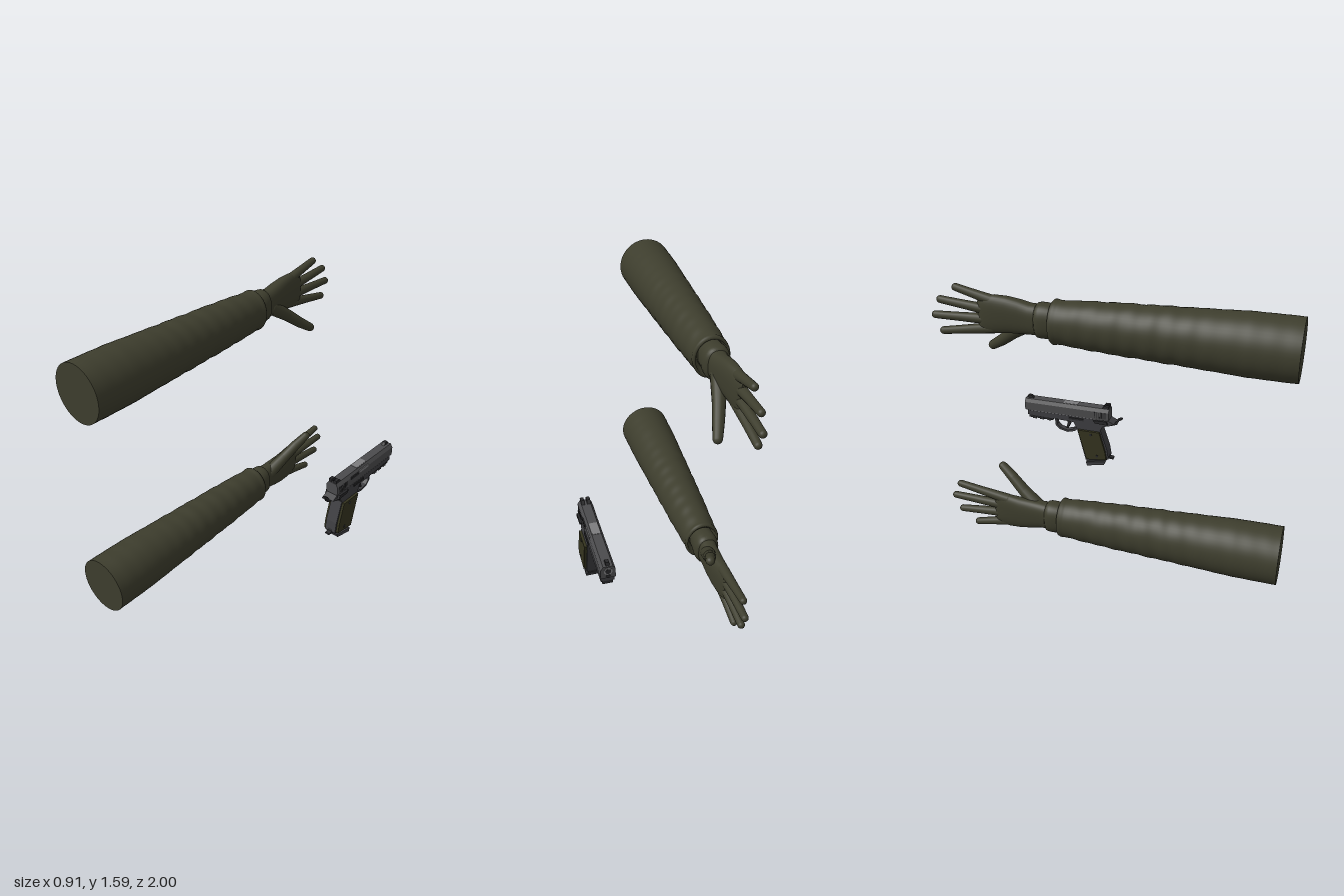
import * as THREE from 'three';

const mat = (name, color) => Object.assign(new THREE.MeshStandardMaterial({ color }), { name });

// Loft closed rings (listed toward -z, counter-clockwise seen from +z), with flat caps
function loft(rings) {
  const n = rings[0].length, pos = [], idx = [];
  rings.forEach(r => r.forEach(p => pos.push(...p)));
  for (let i = 0; i < rings.length - 1; i++) for (let j = 0; j < n; j++) {
    const a = i * n + j, b = i * n + (j + 1) % n;
    idx.push(a, a + n, b, b, a + n, b + n);
  }
  [rings[0], rings[rings.length - 1]].forEach((r, end) => {
    const base = pos.length / 3, c = [0, 0, 0];
    r.forEach(p => { pos.push(...p); p.forEach((v, k) => { c[k] += v / n; }); });
    pos.push(...c);
    for (let j = 0; j < n; j++) {
      const k = base + (j + 1) % n;
      idx.push(base + n, end ? k : base + j, end ? base + j : k);
    }
  });
  const g = new THREE.BufferGeometry();
  g.setAttribute('position', new THREE.Float32BufferAttribute(pos, 3));
  g.setIndex(idx);
  g.computeVertexNormals();
  return g;
}

// Rounded ring; power below 1 makes it boxier
function ring(cx, cy, z, rx, ry, power = 1, n = 40, swell = () => 1) {
  return Array.from({ length: n }, (_, j) => {
    const t = j / n * Math.PI * 2, c = Math.cos(t), s = Math.sin(t), k = swell(t);
    return [cx + rx * k * Math.sign(c) * Math.abs(c) ** power, cy + ry * k * Math.sign(s) * Math.abs(s) ** power, z];
  });
}

// Tapered rounded limb between two centres
function limb(a, b, ra, rb) {
  const A = new THREE.Vector3(...a), B = new THREE.Vector3(...b), d = B.clone().sub(A), len = d.length(), pts = [];
  for (let i = 0; i <= 6; i++) {
    const t = i / 6 * Math.PI / 2;
    pts.push(new THREE.Vector2(ra * Math.sin(t), -ra * Math.cos(t)));
  }
  for (let i = 0; i <= 6; i++) {
    const t = i / 6 * Math.PI / 2;
    pts.push(new THREE.Vector2(rb * Math.cos(t), len + rb * Math.sin(t)));
  }
  const g = new THREE.LatheGeometry(pts, 16);
  g.applyQuaternion(new THREE.Quaternion().setFromUnitVectors(new THREE.Vector3(0, 1, 0), d.normalize()));
  return g.translate(...a);
}

// Mirror a geometry across y = 0.8 and keep its faces outward
function mirrorY(g) {
  const m = g.clone().scale(1, -1, 1).translate(0, 1.6, 0), ix = m.index.array;
  for (let i = 0; i < ix.length; i += 3) [ix[i + 1], ix[i + 2]] = [ix[i + 2], ix[i + 1]];
  return m;
}

function armParts() {
  const parts = [], X = -0.29, Y = 0.173;
  const lerp = THREE.MathUtils.lerp, smooth = THREE.MathUtils.smoothstep;

  // Sleeve: tapered, with folds growing toward the cuff, and a hollow end
  const keys = [[1, 0.162, 0.166], [0.75, 0.156, 0.167], [0.5, 0.144, 0.155], [0, 0.12, 0.135], [-0.3, 0.1, 0.117]];
  const rings = [];
  for (let i = 0; i <= 110; i++) {
    const z = lerp(1, -0.285, i / 110);
    let k = 0;
    while (k < 3 && z < keys[k + 1][0]) k++;
    const u = (keys[k][0] - z) / (keys[k][0] - keys[k + 1][0]);
    const amp = 0.004 + 0.014 * (1 - smooth(z, 0.3, 0.65));
    const folds = t => 1 + amp * (Math.sin(z * 62 + 1.6 * Math.sin(t + 1)) + 0.7 * Math.sin(z * 31 + 2 * Math.cos(2 * t))) * 0.6
      + 0.03 * smooth(-z, 0.262, 0.272);
    rings.push(ring(X, Y, z, lerp(keys[k][1], keys[k + 1][1], u), lerp(keys[k][2], keys[k + 1][2], u), 1, 48, folds));
  }
  [[-0.293, 0.1, 0.115], [-0.293, 0.09, 0.105], [-0.26, 0.085, 0.1], [-0.25, 0.07, 0.085]]
    .forEach(([z, a, b]) => rings.push(ring(X, Y, z, a, b, 1, 48)));
  parts.push(['sleeve', loft(rings)]);

  // Glove cuff and palm
  parts.push(['gloveCuff', loft([
    [-0.24, 0.066, 0.086], [-0.3, 0.07, 0.093], [-0.325, 0.074, 0.097], [-0.355, 0.074, 0.097], [-0.375, 0.069, 0.094], [-0.385, 0.055, 0.08],
  ].map(([z, a, b]) => ring(X - 0.003, 0.17, z, a, b, 0.85)))]);
  // Palm rows: z, centre x, centre y, half width, half height
  parts.push(['palm', loft([
    [-0.36, -0.292, 0.17, 0.058, 0.084], [-0.42, -0.292, 0.17, 0.053, 0.086], [-0.48, -0.293, 0.164, 0.051, 0.095],
    [-0.55, -0.295, 0.16, 0.048, 0.102], [-0.62, -0.298, 0.163, 0.042, 0.108], [-0.67, -0.298, 0.168, 0.035, 0.105],
    [-0.7, -0.297, 0.17, 0.026, 0.095], [-0.715, -0.297, 0.17, 0.012, 0.08],
  ].map(([z, x, y, a, b]) => ring(x, y, z, a, b, 0.8)))]);

  // Four fingers: base y, base z, tip y, tip z
  [[0.095, -0.6, 0.036, -0.84], [0.145, -0.64, 0.115, -0.938], [0.196, -0.64, 0.207, -0.976], [0.243, -0.63, 0.296, -0.936]]
    .forEach(([y0, z0, y1, z1]) => {
      const my = (y0 + y1) / 2, mz = (z0 + z1) / 2;
      parts.push(['fingerBase', limb([-0.298, y0, z0], [-0.297, my, mz], 0.031, 0.025)]);
      parts.push(['fingerTip', limb([-0.297, my, mz], [-0.295, y1, z1], 0.025, 0.021)]);
    });

  // Thumb with its fleshy root
  parts.push(['thumbRoot', limb([-0.278, 0.2, -0.43], [-0.243, 0.282, -0.545], 0.045, 0.036)]);
  parts.push(['thumbMiddle', limb([-0.243, 0.282, -0.545], [-0.215, 0.347, -0.625], 0.036, 0.032)]);
  parts.push(['thumbTip', limb([-0.215, 0.347, -0.625], [-0.188, 0.398, -0.698], 0.032, 0.026)]);
  return parts;
}

export function createModel() {
  const model = new THREE.Group();
  const olive = mat('olive cloth', 0x3d3d2d), panelGreen = mat('grip olive', 0x35341f);
  const steel = mat('slide grey', 0x4b4b4d), dark = mat('frame grey', 0x3e3e41);
  const black = mat('dark fittings', 0x28282a), bright = mat('bright steel', 0x7c7c7e);
  const add = (parent, name, g, m) => {
    const mesh = new THREE.Mesh(g, m);
    mesh.name = name;
    parent.add(mesh);
  };

  // Two arms, one the upside-down mirror of the other
  const lower = new THREE.Group(), upper = new THREE.Group();
  lower.name = 'lowerArm';
  upper.name = 'upperArm';
  armParts().forEach(([name, g]) => {
    add(lower, name, g, olive);
    add(upper, name, mirrorY(g), olive);
  });

  // Pistol pointing toward -z; profiles use (u, y) with u = -z
  const pistol = new THREE.Group(), CX = 0.4;
  pistol.name = 'pistol';
  const plate = (name, pts, w, m, x = CX, hole) => {
    const s = new THREE.Shape(pts.map(p => new THREE.Vector2(...p)));
    if (hole) s.holes.push(new THREE.Path(hole.map(p => new THREE.Vector2(...p))));
    const g = new THREE.ExtrudeGeometry(s, { depth: w, bevelEnabled: false });
    add(pistol, name, g.translate(0, 0, -w / 2).rotateY(Math.PI / 2).translate(x, 0, 0), m);
  };
  const box = (name, u0, u1, y0, y1, w, m, x = CX) => plate(name, [[u0, y0], [u1, y0], [u1, y1], [u0, y1]], w, m, x);

  // Slide with chamfered top, riding on a narrow rail
  const section = new THREE.Shape([[-0.04, 0.491], [0.04, 0.491], [0.04, 0.545], [0.026, 0.567], [-0.026, 0.567], [-0.04, 0.545]]
    .map(p => new THREE.Vector2(...p)));
  add(pistol, 'slide', new THREE.ExtrudeGeometry(section, { depth: 0.573, bevelEnabled: false }).translate(CX, 0, -0.773), steel);
  box('slideRail', 0.21, 0.75, 0.484, 0.493, 0.072, bright);
  box('chamberTop', 0.415, 0.51, 0.56, 0.569, 0.044, bright);
  box('ejectionPort', 0.415, 0.51, 0.538, 0.556, 0.006, bright, CX + 0.039);
  box('extractor', 0.335, 0.41, 0.534, 0.55, 0.008, black, CX + 0.04);
  for (let i = 0; i < 6; i++) for (const s of [-1, 1])
    box('slideSerration', 0.22 + i * 0.014, 0.225 + i * 0.014, 0.5, 0.542, 0.004, black, CX + s * 0.04);

  // Sights
  plate('frontSight', [[0.72, 0.565], [0.765, 0.565], [0.758, 0.584], [0.735, 0.584]], 0.02, black);
  for (const s of [-1, 1]) plate('rearSight', [[0.203, 0.565], [0.25, 0.565], [0.232, 0.586], [0.203, 0.586]], 0.02, black, CX + s * 0.017);

  // Muzzle and guide rod
  const rod = (name, r, y, z, m) => add(pistol, name, new THREE.CylinderGeometry(r, r, 0.012, 20).rotateX(Math.PI / 2).translate(CX, y, z), m);
  rod('barrelEnd', 0.023, 0.537, -0.77, bright);
  rod('bore', 0.015, 0.537, -0.772, black);
  rod('guideRod', 0.011, 0.503, -0.77, black);

  // Frame with grip core and beavertail
  plate('frame', [[0.165, 0.468], [0.2, 0.486], [0.757, 0.486], [0.757, 0.456], [0.6, 0.45], [0.44, 0.445], [0.415, 0.39],
    [0.362, 0.172], [0.205, 0.2], [0.215, 0.27], [0.258, 0.41], [0.24, 0.44], [0.2, 0.45]], 0.074, dark);
  box('accessoryRail', 0.585, 0.752, 0.432, 0.458, 0.056, black);
  for (let i = 0; i < 3; i++) box('railTooth', 0.6 + i * 0.05, 0.625 + i * 0.05, 0.428, 0.44, 0.064, dark);
  for (const s of [-1, 1]) {
    plate('gripPanel', [[0.262, 0.398], [0.408, 0.398], [0.352, 0.185], [0.216, 0.2], [0.226, 0.265]], 0.016, panelGreen, CX + s * 0.044);
    for (const [u, y] of [[0.32, 0.375], [0.28, 0.22]])
      add(pistol, 'gripScrew', new THREE.CylinderGeometry(0.009, 0.009, 0.004, 14).rotateZ(Math.PI / 2).translate(CX + s * 0.053, y, -u), black);
    plate('safetyLever', [[0.205, 0.462], [0.29, 0.466], [0.3, 0.484], [0.215, 0.488]], 0.014, black, CX + s * 0.044);
    box('slideStop', 0.37, 0.47, 0.464, 0.478, 0.008, black, CX + s * 0.039);
  }

  // Hammer
  plate('hammer', [[0.21, 0.455], [0.165, 0.468], [0.148, 0.495], [0.122, 0.505], [0.118, 0.496], [0.138, 0.484], [0.152, 0.456], [0.19, 0.44]], 0.02, black);

  // Trigger guard and trigger
  plate('triggerGuard', [[0.41, 0.455], [0.405, 0.4], [0.44, 0.366], [0.49, 0.352], [0.545, 0.365], [0.572, 0.392], [0.577, 0.455]], 0.036, dark, CX,
    [[0.43, 0.45], [0.43, 0.402], [0.452, 0.378], [0.49, 0.366], [0.537, 0.377], [0.56, 0.4], [0.564, 0.45]]);
  plate('trigger', [[0.462, 0.455], [0.5, 0.455], [0.49, 0.42], [0.5, 0.378], [0.486, 0.38], [0.47, 0.415]], 0.02, black);

  // Magazine base
  plate('magazine', [[0.222, 0.205], [0.362, 0.18], [0.357, 0.152], [0.235, 0.178]], 0.06, black);
  plate('magazineBase', [[0.225, 0.178], [0.36, 0.152], [0.352, 0.128], [0.235, 0.154]], 0.08, dark);
  plate('gripHeel', [[0.21, 0.225], [0.235, 0.215], [0.225, 0.193], [0.178, 0.19], [0.178, 0.2], [0.203, 0.205]], 0.03, black);

  model.add(lower, upper, pistol);
  return model;
}
